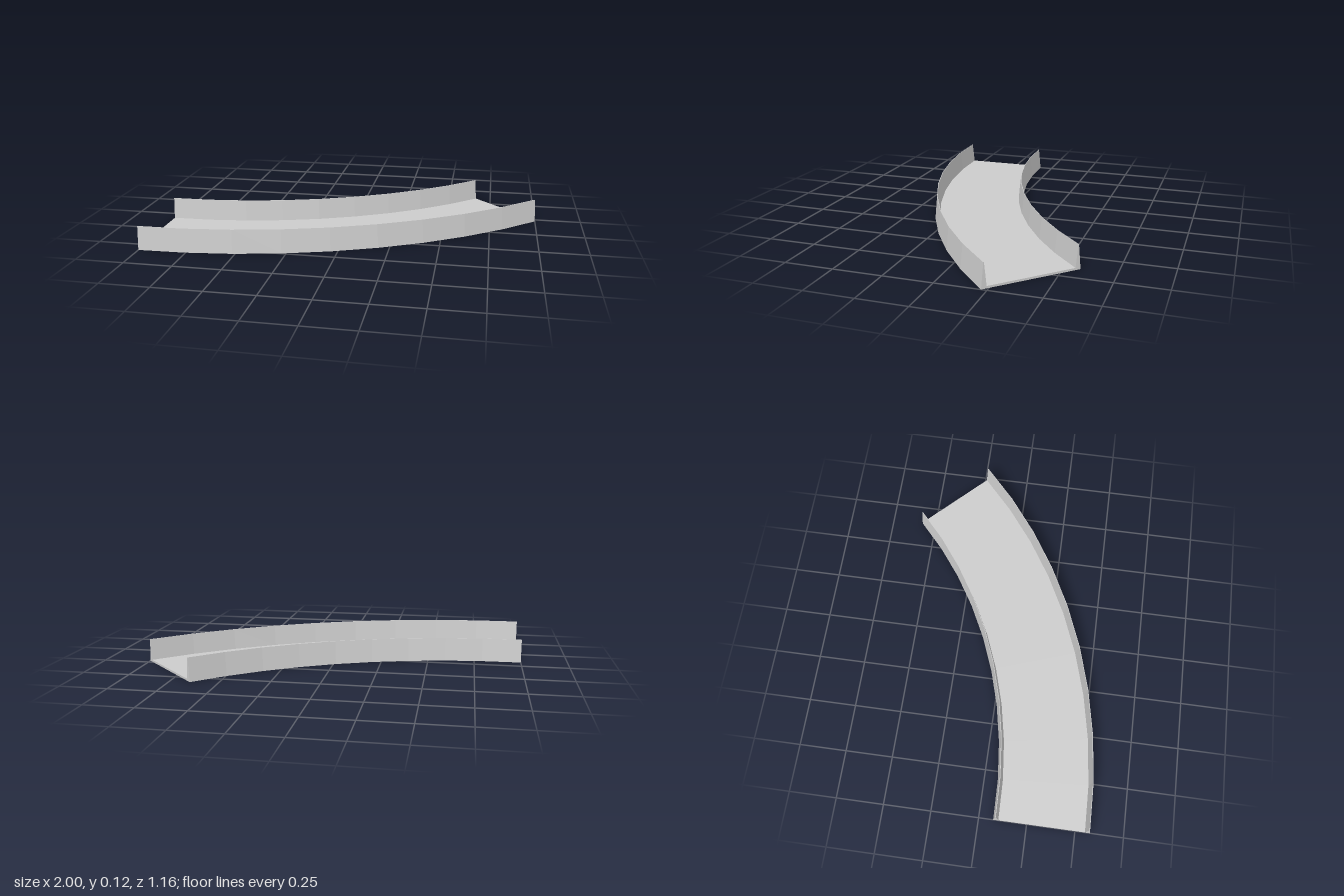
import * as THREE from 'three';

const R = 2.735;            // outer radius of the bend
const LEAD = 0.066;         // short straight run before the bend
const WIDTH = 0.502, HEIGHT = 0.124;
const SEGMENTS = 9;
const BEND = Math.PI / 4;

// Channel cross-section: [inset from outer edge, height], counter-clockwise seen from the far end
const half = [[0, 0], [0.012, HEIGHT], [0.015, HEIGHT], [0.027, 0.011]];
const profile = [
  half[0],
  ...half.map(([d, y]) => [WIDTH - d, y]),
  ...half.slice(1).reverse(),
];

// Evenly spaced stations: a straight offset first, then turning angles
function makeStations() {
  const mid = R - WIDTH / 2;
  const length = LEAD + mid * BEND;
  const list = [];
  for (let k = 0; k <= SEGMENTS; k++) {
    const run = (length * k) / SEGMENTS - LEAD;
    list.push({ shift: Math.min(run, 0), angle: Math.max(run, 0) / mid });
  }
  return list;
}

function sweepChannel() {
  const rings = makeStations().map(({ shift, angle }) =>
    profile.map(([d, y]) => [
      -1 + LEAD + shift + (R - d) * Math.sin(angle),
      y,
      0.578 - R + (R - d) * Math.cos(angle),
    ]));
  const out = [];
  const tri = (a, b, c) => out.push(...a, ...b, ...c);
  const n = profile.length;

  // Long faces between neighbouring sections
  for (let k = 0; k < SEGMENTS; k++) {
    for (let i = 0; i < n; i++) {
      const j = (i + 1) % n;
      const a = rings[k][i], b = rings[k][j];
      const c = rings[k + 1][j], d = rings[k + 1][i];
      tri(a, b, c);
      tri(a, c, d);
    }
  }

  // End faces
  const first = rings[0], last = rings[SEGMENTS];
  const outline = profile.map(([d, y]) => new THREE.Vector2(d, y));
  for (const [a, b, c] of THREE.ShapeUtils.triangulateShape(outline, [])) {
    tri(last[a], last[b], last[c]);
    tri(first[a], first[c], first[b]);
  }

  const geometry = new THREE.BufferGeometry();
  geometry.setAttribute('position', new THREE.Float32BufferAttribute(out, 3));
  geometry.computeVertexNormals();
  return geometry;
}

export function createModel() {
  const group = new THREE.Group();
  group.name = 'curvedTrack';
  const material = new THREE.MeshStandardMaterial({ color: 0xcccccc, flatShading: true });
  const channel = new THREE.Mesh(sweepChannel(), material);
  channel.name = 'trackChannel';
  group.add(channel);
  return group;
}
